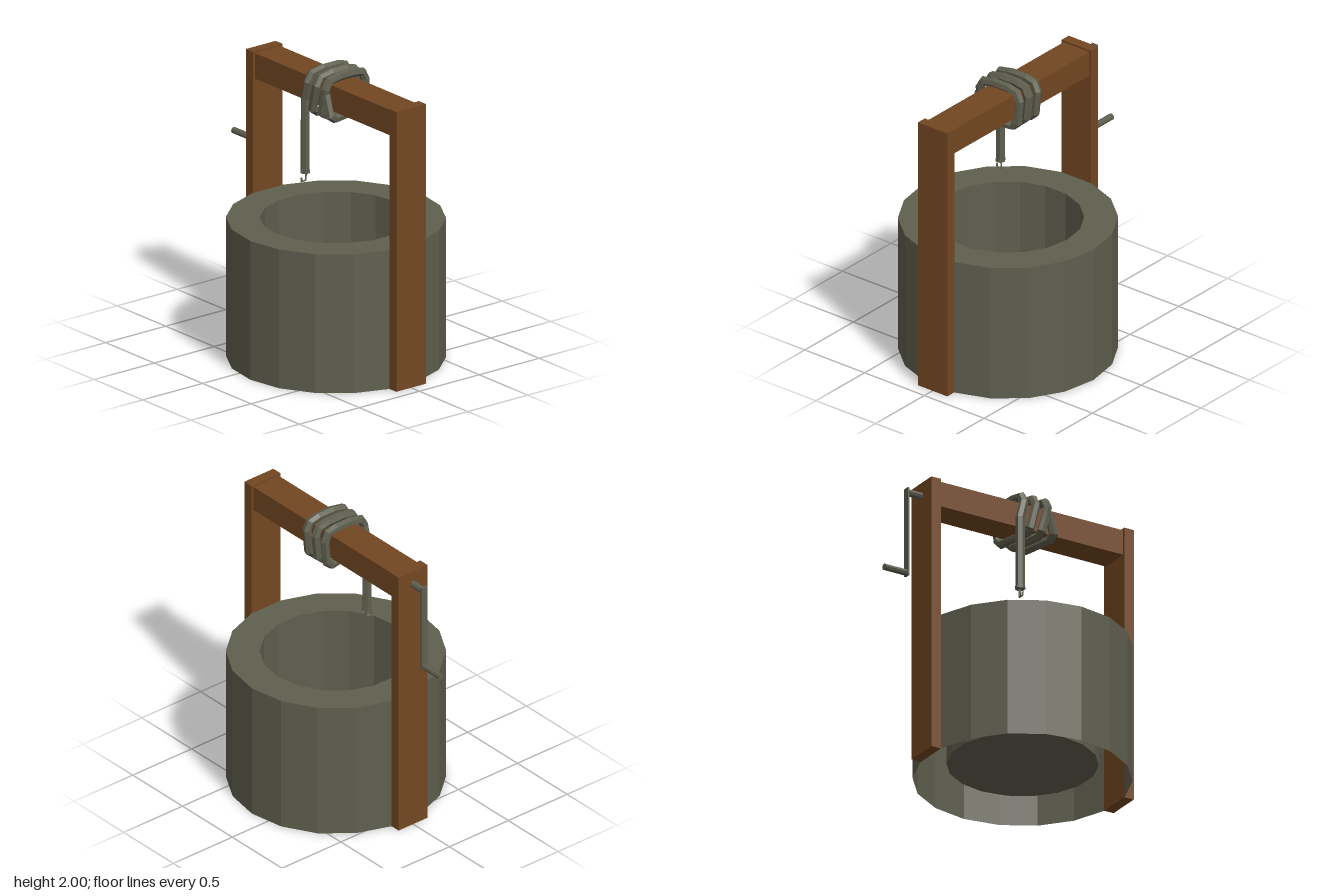
import * as THREE from 'three';

// Curve that steps exactly through a list of points, with mitred corners
class Polyline extends THREE.Curve {
  constructor(points) {
    super();
    this.points = points;
  }
  getPointAt(u, target = new THREE.Vector3()) {
    return target.copy(this.points[Math.round(u * (this.points.length - 1))]);
  }
  getTangentAt(u, target = new THREE.Vector3()) {
    const p = this.points, i = Math.round(u * (p.length - 1));
    target.set(0, 0, 0);
    if (i > 0) target.add(p[i].clone().sub(p[i - 1]).normalize());
    if (i < p.length - 1) target.add(p[i + 1].clone().sub(p[i]).normalize());
    return target.normalize();
  }
}

export function createModel() {
  const model = new THREE.Group();
  model.name = 'well';

  const stone = new THREE.MeshStandardMaterial({ color: 0x5f5f4f, flatShading: true, side: THREE.DoubleSide });
  stone.name = 'grey stone';
  const wood = new THREE.MeshStandardMaterial({ color: 0x734722, flatShading: true });
  wood.name = 'brown wood';

  const add = (name, geometry, material, x = 0, y = 0, z = 0) => {
    const mesh = new THREE.Mesh(geometry, material);
    mesh.name = name;
    mesh.position.set(x, y, z);
    model.add(mesh);
    return mesh;
  };
  const box = (name, material, x0, x1, y0, y1, z0, z1) =>
    add(name, new THREE.BoxGeometry(x1 - x0, y1 - y0, z1 - z0), material,
      (x0 + x1) / 2, (y0 + y1) / 2, (z0 + z1) / 2);
  const rod = (name, x0, x1, y, radius) =>
    add(name, new THREE.CylinderGeometry(radius, radius, x1 - x0, 8).rotateZ(Math.PI / 2),
      stone, (x0 + x1) / 2, y, -0.003);
  const tube = (name, points, radius, sides) => {
    const path = new Polyline(points.map((p) => new THREE.Vector3(...p)));
    return add(name, new THREE.TubeGeometry(path, points.length - 1, radius, sides), stone);
  };

  // Well wall, open underneath, with a raised floor inside
  const profile = [[0.715, 0], [0.715, 0.957], [0.495, 0.957], [0.495, 0.11], [0, 0.11]];
  add('wellWall', new THREE.LatheGeometry(profile.map((p) => new THREE.Vector2(...p)), 18), stone, 0.14);

  // Wooden frame
  box('rightPost', wood, -0.635, -0.563, 0, 1.93, -0.123, 0.123);
  box('leftPost', wood, 0.843, 0.915, 0, 1.93, -0.123, 0.123);
  box('crossBeam', wood, -0.565, 0.847, 1.742, 1.917, -0.107, 0.107);

  // Crank
  rod('crankAxle', -0.745, -0.63, 1.837, 0.024);
  box('crankArm', stone, -0.752, -0.738, 1.24, 1.865, -0.025, 0.02);
  rod('crankHandle', -0.92, -0.745, 1.262, 0.022);

  // Rope: hangs in front, then winds three times around the beam
  const ropePoints = [[0.02, 1.28, 0.16], [0.02, 1.78, 0.16]];
  for (let i = 0; i < 3; i++) {
    const x = 0.05 + i * 0.09;
    const next = x + 0.047;
    ropePoints.push(
      [x, 1.9, 0.16], [x, 1.953, 0.13], [x, 1.969, 0.04], [x, 1.969, -0.08],
      [x, 1.955, -0.145], [x, 1.9, -0.17], [x, 1.74, -0.155], [x, 1.705, -0.115],
      [next, 1.705, 0.12], [next, 1.73, 0.16]);
  }
  ropePoints.push([0.235, 1.87, 0.16]);
  tube('rope', ropePoints, 0.031, 6);

  // Collar and hook at the rope's end
  add('ropeCollar', new THREE.CylinderGeometry(0.034, 0.034, 0.02, 6), stone, 0.02, 1.28, 0.16);
  tube('hook', [[0.02, 1.28, 0.155], [0.02, 1.216, 0.155], [0.02, 1.216, 0.19], [0.02, 1.24, 0.19]], 0.009, 4);

  return model;
}
